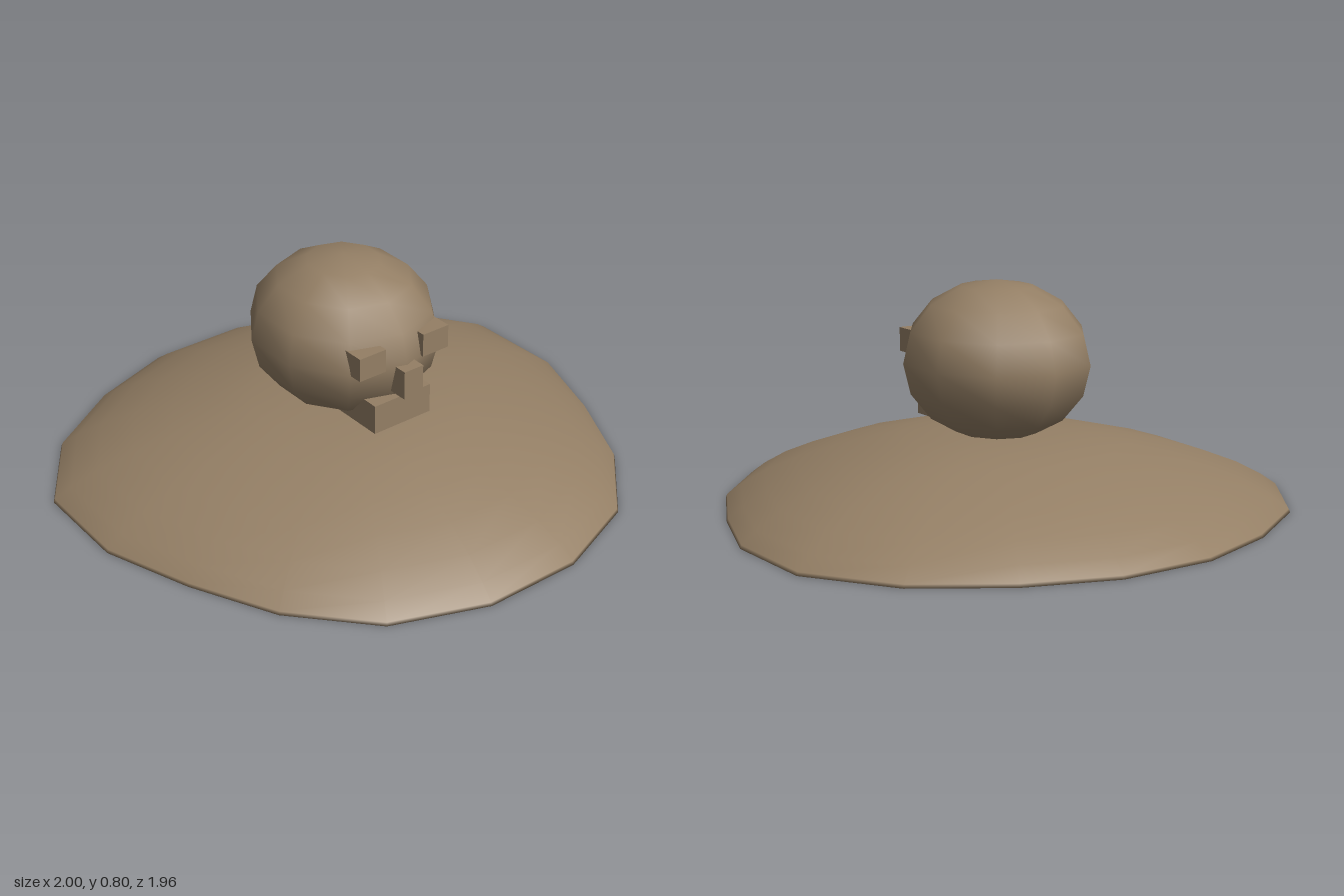
import * as THREE from 'three';

const skin = new THREE.MeshStandardMaterial({ color: 0x947f65 });
skin.name = 'warm brown';

// Low dome: an 18-sided rounded outline, shrunk ring by ring up to the top
function domeGeometry() {
  const half = [[0.175, -0.98], [0.49, -0.87], [0.785, -0.68], [0.99, -0.385], [1, -0.02],
    [0.89, 0.3], [0.745, 0.6], [0.51, 0.855], [0.18, 0.98]];
  const outline = [...half, ...half.map(([x, z]) => [-x, z]).reverse()];
  const rings = [[1, 0], [0.995, 0.012], [0.94, 0.052], [0.85, 0.103], [0.73, 0.153],
    [0.6, 0.196], [0.46, 0.232], [0.33, 0.257], [0.18, 0.269]];
  const n = outline.length;
  const position = [], index = [];
  for (const [s, y] of rings) {
    for (const [x, z] of outline) position.push(x * s, y, z * s);
  }
  const apex = position.length / 3;
  position.push(0, 0.273, 0);

  // Sides and top
  for (let r = 0; r < rings.length; r++) {
    for (let j = 0; j < n; j++) {
      const k = (j + 1) % n;
      const a = r * n + j, b = r * n + k;
      if (r === rings.length - 1) index.push(a, apex, b);
      else index.push(a, a + n, b, b, a + n, b + n);
    }
  }
  // Flat underside, joining mirrored pairs of rim points
  for (let i = 0; i < n / 2 - 1; i++) {
    const a = i, b = i + 1, c = n - 2 - i, d = n - 1 - i;
    index.push(a, b, c, a, c, d);
  }
  const geometry = new THREE.BufferGeometry();
  geometry.setAttribute('position', new THREE.Float32BufferAttribute(position, 3));
  geometry.setIndex(index);
  geometry.computeVertexNormals();
  return geometry;
}

export function createModel() {
  const model = new THREE.Group();
  model.name = 'headOnDome';

  const add = (name, geometry, x = 0, y = 0, z = 0) => {
    const mesh = new THREE.Mesh(geometry, skin);
    mesh.name = name;
    mesh.position.set(x, y, z);
    model.add(mesh);
    return mesh;
  };

  add('domeBody', domeGeometry());

  // Ten-sided egg-shaped head with a corner facing forward
  const skull = new THREE.SphereGeometry(1, 10, 8);
  skull.rotateY(Math.PI / 2);
  skull.scale(0.33, 0.28, 0.35);
  add('head', skull, 0, 0.52, -0.025);

  // Block features sunk into the face
  for (const [side, name] of [[1, 'leftEye'], [-1, 'rightEye']]) {
    add(name, new THREE.BoxGeometry(0.11, 0.085, 0.11), side * 0.135, 0.562, 0.253);
  }
  add('nose', new THREE.BoxGeometry(0.08, 0.105, 0.11), 0, 0.472, 0.303);
  add('mouth', new THREE.BoxGeometry(0.24, 0.108, 0.2), 0, 0.34, 0.202);

  return model;
}
